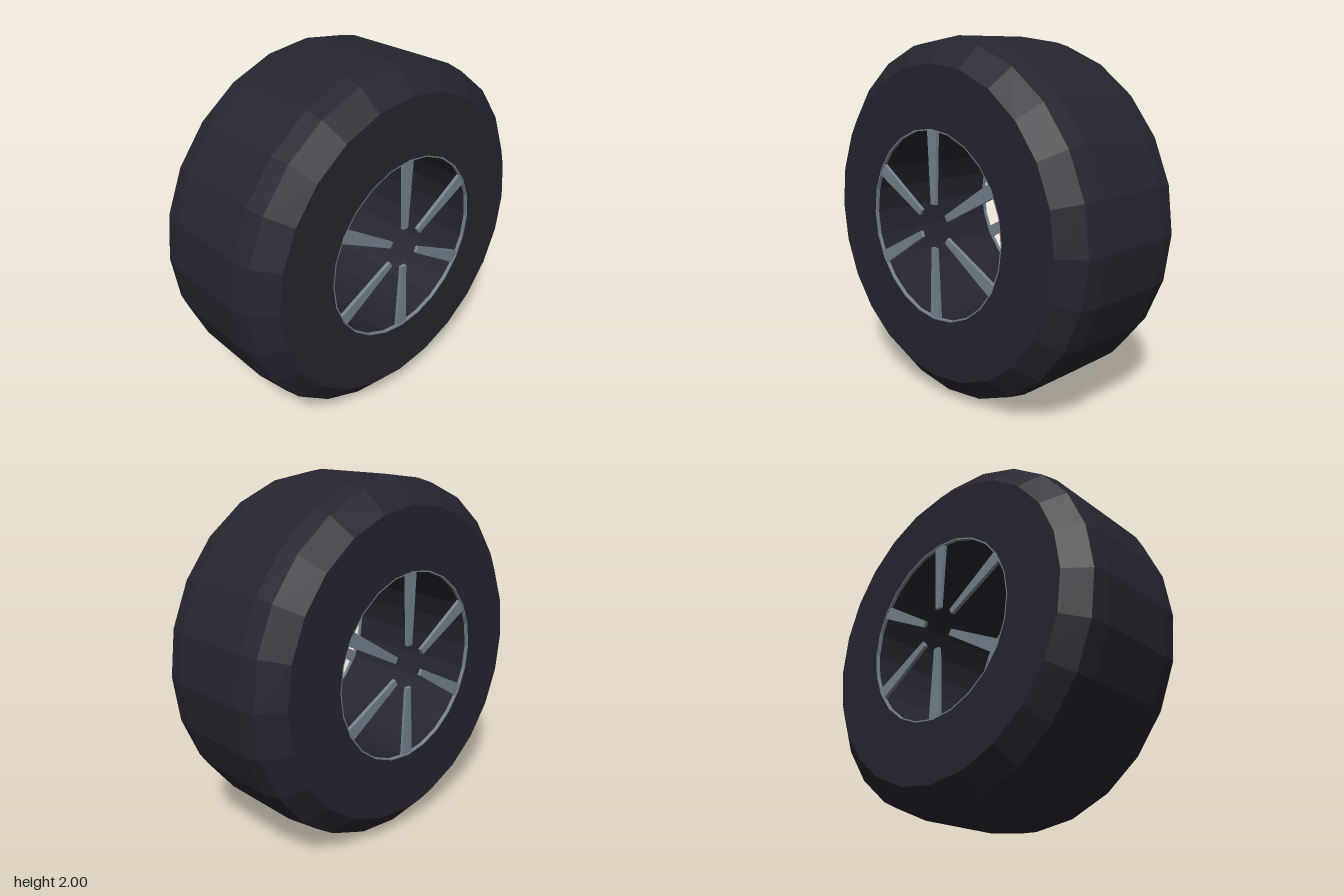
import * as THREE from 'three';

const SIDES = 24;
const HALF_WIDTH = 0.44;
const HOLE = 0.525;

export function createModel() {
  const rubber = new THREE.MeshStandardMaterial({ color: 0x25252f });
  rubber.name = 'dark rubber';
  rubber.flatShading = true;
  const metal = new THREE.MeshStandardMaterial({ color: 0x75828d });
  metal.name = 'grey metal';
  metal.flatShading = true;

  const wheel = new THREE.Group();
  wheel.name = 'wheel';

  // Surface of revolution about the x axis, from [radius, x] pairs
  const revolve = (name, profile, material) => {
    const geometry = new THREE.LatheGeometry(profile.map(([r, x]) => new THREE.Vector2(r, x)), SIDES);
    geometry.rotateZ(-Math.PI / 2);
    const mesh = new THREE.Mesh(geometry, material);
    mesh.name = name;
    wheel.add(mesh);
  };

  // Tyre: closed profile with bevelled shoulders and a straight bore
  const shoulder = [[HOLE, HALF_WIDTH], [0.86, HALF_WIDTH], [0.98, 0.34], [1, 0.24]];
  revolve('tyre', [
    ...shoulder.map(([r, x]) => [r, -x]),
    ...[...shoulder].reverse(),
    [HOLE, -HALF_WIDTH],
  ], rubber);

  // Tapered spoke, extruded along x
  const shape = new THREE.Shape([
    new THREE.Vector2(-0.018, 0.12), new THREE.Vector2(0.018, 0.12),
    new THREE.Vector2(0.037, 0.515), new THREE.Vector2(-0.037, 0.515),
  ]);
  const spokeGeometry = new THREE.ExtrudeGeometry(shape, { depth: 0.02, bevelEnabled: false });
  spokeGeometry.translate(0, 0, -0.01);
  spokeGeometry.rotateY(Math.PI / 2);

  for (const side of [-1, 1]) {
    // Thin rim edge lining each mouth of the bore
    const outer = side * HALF_WIDTH;
    const a = Math.min(outer, outer - side * 0.02);
    const b = Math.max(outer, outer - side * 0.02);
    revolve('rimEdge', [[0.518, a], [HOLE, a], [HOLE, b], [0.518, b], [0.518, a]], metal);

    // Six spokes just inside each face
    for (let i = 0; i < 6; i++) {
      const spoke = new THREE.Mesh(spokeGeometry, metal);
      spoke.name = 'spoke';
      spoke.position.x = side * 0.425;
      spoke.rotation.x = i * Math.PI / 3;
      wheel.add(spoke);
    }
  }

  wheel.position.y = 1;
  const model = new THREE.Group();
  model.name = 'wheelModel';
  model.add(wheel);
  return model;
}
